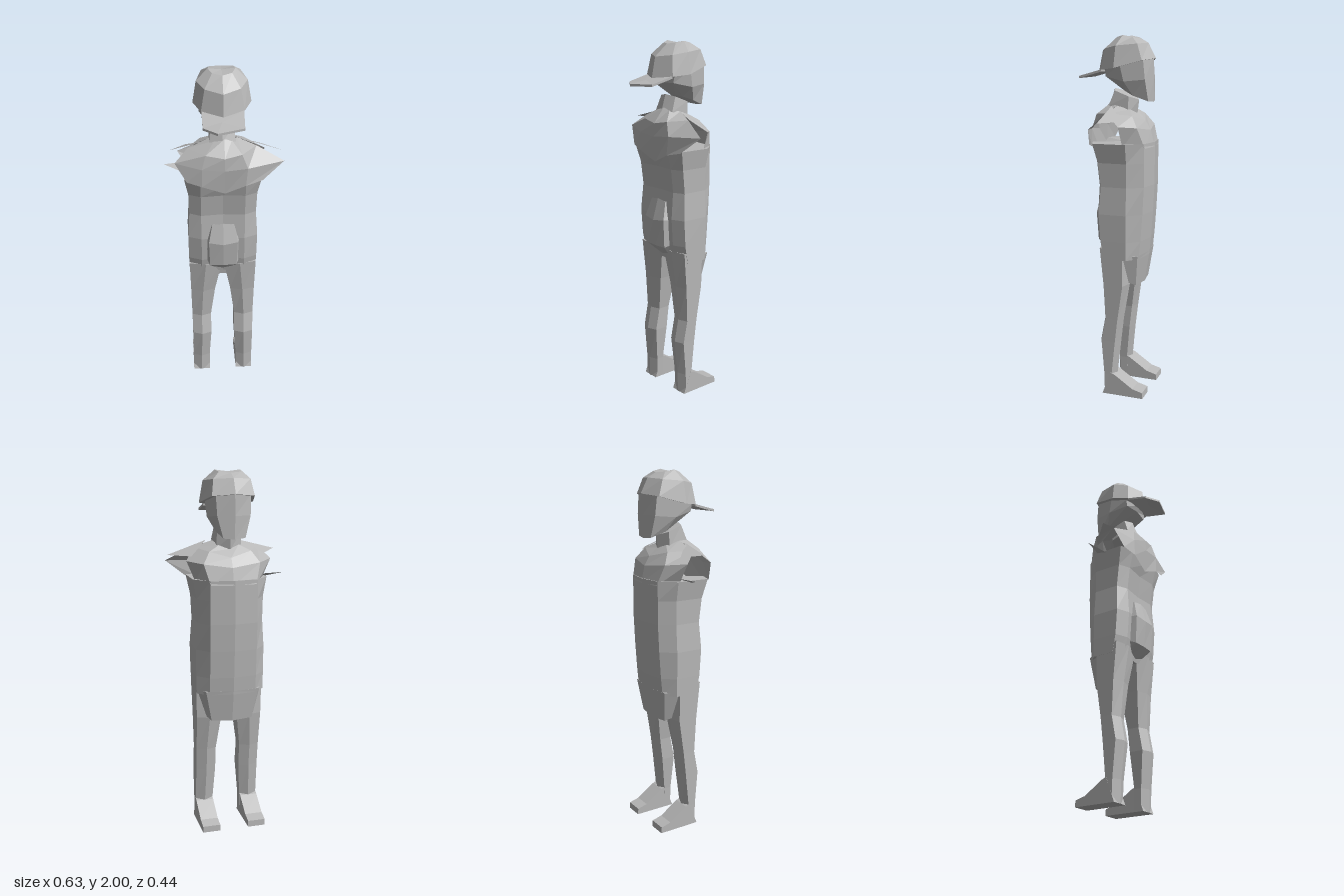
import * as THREE from 'three';

const MID = -0.008; // the figure's mirror line
const grey = new THREE.MeshStandardMaterial({ color: 0xb8b8b8, side: THREE.DoubleSide, flatShading: true });
grey.name = 'plain grey';

// Half ring runs back (+z) to front (-z) along +x; mirror it into a closed ring.
function mirrorRing(half) {
  const other = half.filter(p => p[0] !== 0).reverse().map(([x, y, z]) => [-x, y, z]);
  return [...half, ...other].map(([x, y, z]) => [x + MID, y, z]);
}

// Skin over rings listed from top to bottom, optionally closed and capped.
function skin(name, rings, { closed = true, top = true, bottom = true } = {}) {
  const pos = [];
  const tri = (...pts) => pts.forEach(p => pos.push(...p));
  const n = rings[0].length;
  for (let r = 0; r < rings.length - 1; r++) {
    const a = rings[r], b = rings[r + 1];
    for (let i = 0; i < (closed ? n : n - 1); i++) {
      const j = (i + 1) % n;
      tri(b[i], b[j], a[j]);
      tri(b[i], a[j], a[i]);
    }
  }
  const cap = (ring, up) => {
    const c = [0, 1, 2].map(k => ring.reduce((s, p) => s + p[k], 0) / n);
    ring.forEach((p, i) => {
      const q = ring[(i + 1) % n];
      up ? tri(c, p, q) : tri(c, q, p);
    });
  };
  if (closed && top) cap(rings[0], true);
  if (closed && bottom) cap(rings[rings.length - 1], false);
  const g = new THREE.BufferGeometry();
  g.setAttribute('position', new THREE.Float32BufferAttribute(pos, 3));
  g.computeVertexNormals();
  const mesh = new THREE.Mesh(g, grey);
  mesh.name = name;
  return mesh;
}

const body = (name, halves, opt) => skin(name, halves.map(mirrorRing), opt);

export function createModel() {
  const model = new THREE.Group();
  model.name = 'figure';

  // Cap worn backwards: tilted dome and a thin brim behind
  model.add(body('capDome', [
    [[0, 1.985, 0.0], [0.05, 1.99, -0.02], [0.07, 2.0, -0.06], [0.06, 1.99, -0.11], [0, 1.985, -0.13]],
    [[0, 1.92, 0.08], [0.09, 1.93, 0.035], [0.13, 1.945, -0.04], [0.1, 1.955, -0.15], [0, 1.96, -0.18]],
    [[0, 1.81, 0.103], [0.11, 1.82, 0.05], [0.15, 1.83, -0.035], [0.115, 1.87, -0.18], [0, 1.88, -0.222]],
  ]));
  const brim = y => [[-0.115, 0.05], [-0.115, 0.17], [-0.043, 0.222], [0.093, 0.18], [0.098, 0.05]]
    .map(([x, z]) => [x, 1.835 + y - 0.27 * z + (Math.abs(x) < 0.06 ? 0.008 : 0), z]);
  model.add(skin('capBrim', [brim(0), brim(-0.012)]));

  // Head and neck
  model.add(body('head', [
    [[0, 1.82, 0.06], [0.1, 1.82, 0.03], [0.125, 1.85, -0.06], [0.095, 1.88, -0.18], [0, 1.89, -0.21]],
    [[0, 1.785, 0.045], [0.09, 1.785, 0.03], [0.118, 1.76, -0.08], [0.09, 1.77, -0.19], [0, 1.77, -0.213]],
    [[0, 1.71, -0.06], [0.05, 1.705, -0.07], [0.08, 1.685, -0.12], [0.06, 1.655, -0.2], [0, 1.65, -0.212]],
  ]));
  model.add(body('neck', [
    [[0, 1.72, 0.01], [0.06, 1.71, -0.01], [0.065, 1.68, -0.09], [0, 1.66, -0.13]],
    [[0, 1.64, 0.035], [0.07, 1.63, 0.02], [0.07, 1.59, -0.09], [0, 1.58, -0.12]],
  ]));

  // Shoulder sheets, open at the sides with pointed corners
  model.add(skin('backShoulderSheet', [
    [[-0.08, 1.63, -0.03], [-0.05, 1.64, 0.02], [0, 1.65, 0.03], [0.04, 1.64, 0.02], [0.07, 1.63, -0.03]],
    [[-0.19, 1.59, 0.0], [-0.1, 1.585, 0.08], [0, 1.57, 0.095], [0.09, 1.585, 0.08], [0.17, 1.595, 0.0]],
    [[-0.26, 1.53, 0.05], [-0.12, 1.51, 0.095], [0, 1.5, 0.1], [0.12, 1.51, 0.095], [0.315, 1.52, 0.04]],
    [[-0.2, 1.43, 0.08], [-0.12, 1.41, 0.1], [0, 1.36, 0.09], [0.11, 1.41, 0.1], [0.2, 1.43, 0.08]],
  ], { closed: false }));
  model.add(skin('frontShoulderSheet', [
    [[0.07, 1.63, -0.03], [0.05, 1.61, -0.1], [0, 1.59, -0.12], [-0.06, 1.61, -0.1], [-0.08, 1.63, -0.03]],
    [[0.17, 1.595, -0.01], [0.11, 1.58, -0.13], [0, 1.55, -0.17], [-0.12, 1.58, -0.13], [-0.19, 1.59, -0.01]],
    [[0.225, 1.53, -0.09], [0.15, 1.52, -0.17], [0, 1.5, -0.2], [-0.16, 1.52, -0.17], [-0.245, 1.53, -0.085]],
    [[0.18, 1.42, -0.1], [0.12, 1.41, -0.205], [0, 1.41, -0.222], [-0.13, 1.41, -0.205], [-0.19, 1.42, -0.1]],
  ], { closed: false }));

  // Thin pointed flaps at the shoulders and armpit
  [
    ['leftShoulderPoint', [0.315, 1.555, -0.01], [0.1, 1.63, -0.01], [0.2, 1.555, -0.1]],
    ['rightShoulderPoint', [-0.285, 1.575, -0.01], [-0.11, 1.62, -0.01], [-0.2, 1.56, -0.1]],
    ['rightArmpitPoint', [-0.32, 1.45, -0.085], [-0.19, 1.45, -0.11], [-0.2, 1.42, -0.03]],
  ].forEach(([name, tip, a, b]) => model.add(skin(name, [[tip, tip], [a, b]], { closed: false })));

  // Torso: [y, half width, back z, front z]
  const torso = [
    [1.435, 0.205, 0.095, -0.222], [1.33, 0.186, 0.07, -0.222], [1.2, 0.183, 0.055, -0.222],
    [1.05, 0.193, 0.065, -0.215], [0.9, 0.192, 0.055, -0.205], [0.8, 0.19, 0.035, -0.195],
  ].map(([y, w, b, f]) => [
    [0, y, b - 0.01], [0.12, y, b], [w, y, b - 0.03], [w, y, -0.12], [0.13, y, f + 0.02], [0, y, f],
  ]);
  torso[0][0][1] = 1.4;
  model.add(body('torso', torso));

  // Rounded seat bulge
  model.add(body('seat', [
    [[0, 1.15, 0.065], [0.06, 1.14, 0.06], [0.07, 1.13, 0.02]],
    [[0, 1.03, 0.1], [0.08, 1.04, 0.09], [0.1, 1.04, 0.02]],
    [[0, 0.88, 0.085], [0.075, 0.88, 0.08], [0.1, 0.9, 0.02]],
    [[0, 0.82, 0.03], [0.05, 0.83, 0.03], [0.07, 0.84, 0.0]],
  ]));

  // Hanging front of the apron
  model.add(body('apron', [
    [[0, 0.82, -0.1], [0.185, 0.82, -0.1], [0.15, 0.82, -0.175], [0, 0.82, -0.197]],
    [[0, 0.66, -0.12], [0.135, 0.66, -0.12], [0.115, 0.645, -0.155], [0, 0.64, -0.17]],
  ]));

  // Legs and feet: leg rows are [y, inner x, outer x, back z, front z]
  const legRows = [
    [0.86, 0.005, 0.19, 0.05, -0.12], [0.65, 0.045, 0.186, 0.03, -0.12], [0.45, 0.07, 0.183, 0.02, -0.09],
    [0.32, 0.07, 0.182, 0.045, -0.075], [0.12, 0.082, 0.182, 0.028, -0.055], [0, 0.083, 0.183, 0.025, -0.06],
  ];
  const sides = [['left', 1], ['right', -1]];
  for (const [side, s] of sides) {
    const place = ring => {
      const r = ring.map(([x, y, z]) => [s * x + MID, y, z]);
      return s > 0 ? r : r.reverse();
    };
    model.add(skin(side + 'Leg', legRows.map(([y, i, o, b, f]) => place([
      [i, y, b - 0.02], [(i + o) / 2, y, b], [o, y, b - 0.02], [o, y, f + 0.02], [(i + o) / 2, y, f], [i, y, f + 0.02],
    ]))));
    model.add(skin(side + 'Foot', [
      place([[0.083, 0.13, -0.03], [0.183, 0.13, -0.03], [0.183, 0.12, -0.055], [0.183, 0.05, -0.16],
        [0.183, 0.035, -0.218], [0.083, 0.035, -0.218], [0.083, 0.05, -0.16], [0.083, 0.12, -0.055]]),
      place([[0.083, 0, 0.02], [0.183, 0, 0.02], [0.183, 0, -0.055], [0.183, 0, -0.16],
        [0.183, 0, -0.22], [0.083, 0, -0.22], [0.083, 0, -0.16], [0.083, 0, -0.055]]),
    ], { top: false }));
    // Sloping top of the foot
    model.add(skin(side + 'Instep', [[0.13, -0.03], [0.12, -0.055], [0.05, -0.16], [0.035, -0.218]]
      .map(([y, z]) => place([[0.183, y, z], [0.083, y, z]])), { closed: false }));
  }
  return model;
}
